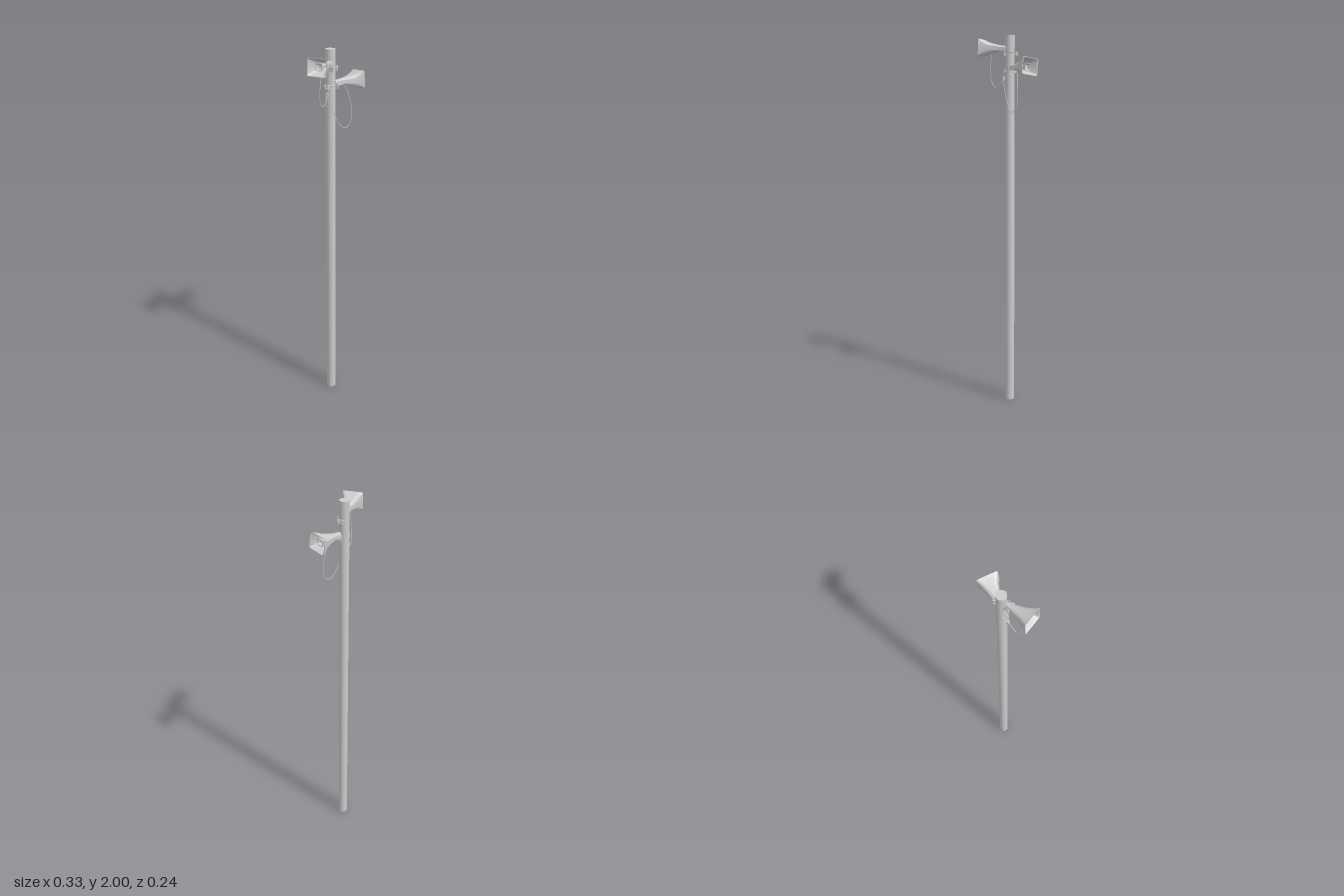
import * as THREE from 'three';
import { toCreasedNormals } from 'three/addons/utils/BufferGeometryUtils.js';

const mat = new THREE.MeshStandardMaterial({ color: 0xcccccc });
const SIDES = 40;

function add(parent, geometry, name, x = 0, y = 0, z = 0) {
  const mesh = new THREE.Mesh(geometry, mat);
  mesh.name = name;
  mesh.position.set(x, y, z);
  parent.add(mesh);
  return mesh;
}

// Skin over rings of [z, half width, half height, squareness]; 2 is round, higher is squarer
function loft(rings) {
  const pos = [], index = [];
  const power = (v, n) => Math.sign(v) * Math.pow(Math.abs(v), 2 / n);
  for (const [z, w, h, n] of rings) {
    for (let i = 0; i < SIDES; i++) {
      const a = (i / SIDES) * Math.PI * 2;
      pos.push(w * power(Math.cos(a), n), h * power(Math.sin(a), n), z);
    }
  }
  for (let r = 0; r < rings.length - 1; r++) {
    for (let i = 0; i < SIDES; i++) {
      const j = (i + 1) % SIDES, a = r * SIDES, b = a + SIDES;
      index.push(a + i, a + j, b + j, a + i, b + j, b + i);
    }
  }
  const g = new THREE.BufferGeometry();
  g.setAttribute('position', new THREE.Float32BufferAttribute(pos, 3));
  g.setIndex(index);
  return toCreasedNormals(g, 0.7);
}

// Flared horn: outside to the rim, then back down the inside
function hornShell() {
  const outer = [
    [-0.148, 0.001, 0.001, 2], [-0.148, 0.013, 0.014, 2], [-0.13, 0.014, 0.015, 2],
    [-0.11, 0.017, 0.017, 2.2], [-0.085, 0.023, 0.021, 2.6], [-0.06, 0.0295, 0.026, 3.4],
    [-0.035, 0.038, 0.033, 5], [-0.015, 0.0455, 0.039, 8], [-0.003, 0.051, 0.0435, 12],
    [0, 0.0525, 0.045, 14],
  ];
  const inner = outer.slice(3).reverse().map(([z, w, h, n]) => [z, w - 0.003, h - 0.003, n]);
  inner.push([-0.11, 0.001, 0.001, 2]);
  return loft([...outer, ...inner]);
}

// Square inner trumpet seen inside the mouth
function innerShell() {
  return loft([
    [-0.11, 0.006, 0.006, 2], [-0.06, 0.01, 0.01, 3], [-0.03, 0.016, 0.015, 7],
    [-0.018, 0.019, 0.018, 9], [-0.018, 0.016, 0.015, 9], [-0.035, 0.011, 0.01, 5],
    [-0.04, 0.001, 0.001, 2],
  ]);
}

// Speaker with its origin at the mouth centre, facing local +z; the pole lies at z = -0.163
function speaker(name, position, heading, pitch, roll, clampY) {
  const unit = new THREE.Group();
  unit.name = name;
  unit.position.set(...position);
  unit.rotation.y = heading;

  const horn = new THREE.Group();
  horn.name = 'horn';
  horn.rotation.set(pitch, 0, roll);
  unit.add(horn);
  add(horn, hornShell(), 'hornShell');
  add(horn, innerShell(), 'innerTrumpet');
  // Pivot bolts through the neck
  for (const s of [-1, 1]) {
    add(horn, new THREE.CylinderGeometry(0.005, 0.005, 0.006, 12), 'pivotBolt', s * 0.021, -0.004, -0.113)
      .rotation.z = Math.PI / 2;
    add(horn, new THREE.BoxGeometry(0.003, 0.018, 0.035), 'bracketArm', s * 0.0175, -0.004, -0.125);
  }

  const clamp = new THREE.Group();
  clamp.name = 'poleClamp';
  clamp.position.set(0, clampY, -0.163);
  unit.add(clamp);
  add(clamp, new THREE.BoxGeometry(0.038, 0.024, 0.004), 'mountPlate', 0, 0, 0.027);
  add(clamp, new THREE.BoxGeometry(0.03, 0.02, 0.004), 'backPlate', 0, 0, -0.027);
  // Bands, side rods and nuts gripping the pole
  for (const y of [-0.007, 0.007]) {
    add(clamp, new THREE.TorusGeometry(0.0255, 0.0015, 6, 32), 'band', 0, y, 0).rotation.x = Math.PI / 2;
  }
  for (const s of [-1, 1]) {
    add(clamp, new THREE.BoxGeometry(0.004, 0.022, 0.012), 'clampEar', s * 0.013, 0, -0.031);
    add(clamp, new THREE.CylinderGeometry(0.0045, 0.0045, 0.006, 6), 'nut', s * 0.009, s * 0.004, -0.034)
      .rotation.x = Math.PI / 2;
    add(clamp, new THREE.CylinderGeometry(0.002, 0.002, 0.014, 8), 'boltEnd', s * 0.009, s * 0.004, -0.036)
      .rotation.x = Math.PI / 2;
  }
  return unit;
}

function cable(parent, name, points) {
  const curve = new THREE.CatmullRomCurve3(points.map((p) => new THREE.Vector3(...p)));
  add(parent, new THREE.TubeGeometry(curve, 60, 0.0018, 6), name);
}

export function createModel() {
  const model = new THREE.Group();
  model.name = 'polewithHorns';

  add(model, new THREE.CylinderGeometry(0.025, 0.025, 2, 40), 'pole', -0.017, 1, -0.031);

  model.add(speaker('upperSpeaker', [-0.126, 1.939, 0.084], Math.atan2(-0.72, 0.7), -0.06, 0, -0.035));
  model.add(speaker('lowerSpeaker', [0.148, 1.832, -0.067], Math.atan2(0.967, -0.254), 0, -0.1, -0.015));

  // Cable connector beside the lower clamp
  add(model, new THREE.BoxGeometry(0.012, 0.022, 0.01), 'connector', -0.044, 1.778, -0.006).rotation.y = -0.7;

  cable(model, 'upperCable', [
    [-0.083, 1.92, 0.042], [-0.093, 1.87, 0.045], [-0.1, 1.81, 0.047], [-0.093, 1.75, 0.036],
    [-0.076, 1.731, 0.025], [-0.055, 1.75, 0.008], [-0.044, 1.778, -0.004],
  ]);
  cable(model, 'lowerCable', [
    [-0.044, 1.77, -0.004], [-0.017, 1.705, -0.003], [0.025, 1.62, -0.007], [0.058, 1.6, -0.012],
    [0.085, 1.625, -0.018], [0.094, 1.68, -0.022], [0.079, 1.765, -0.028], [0.055, 1.825, -0.034],
  ]);
  return model;
}
